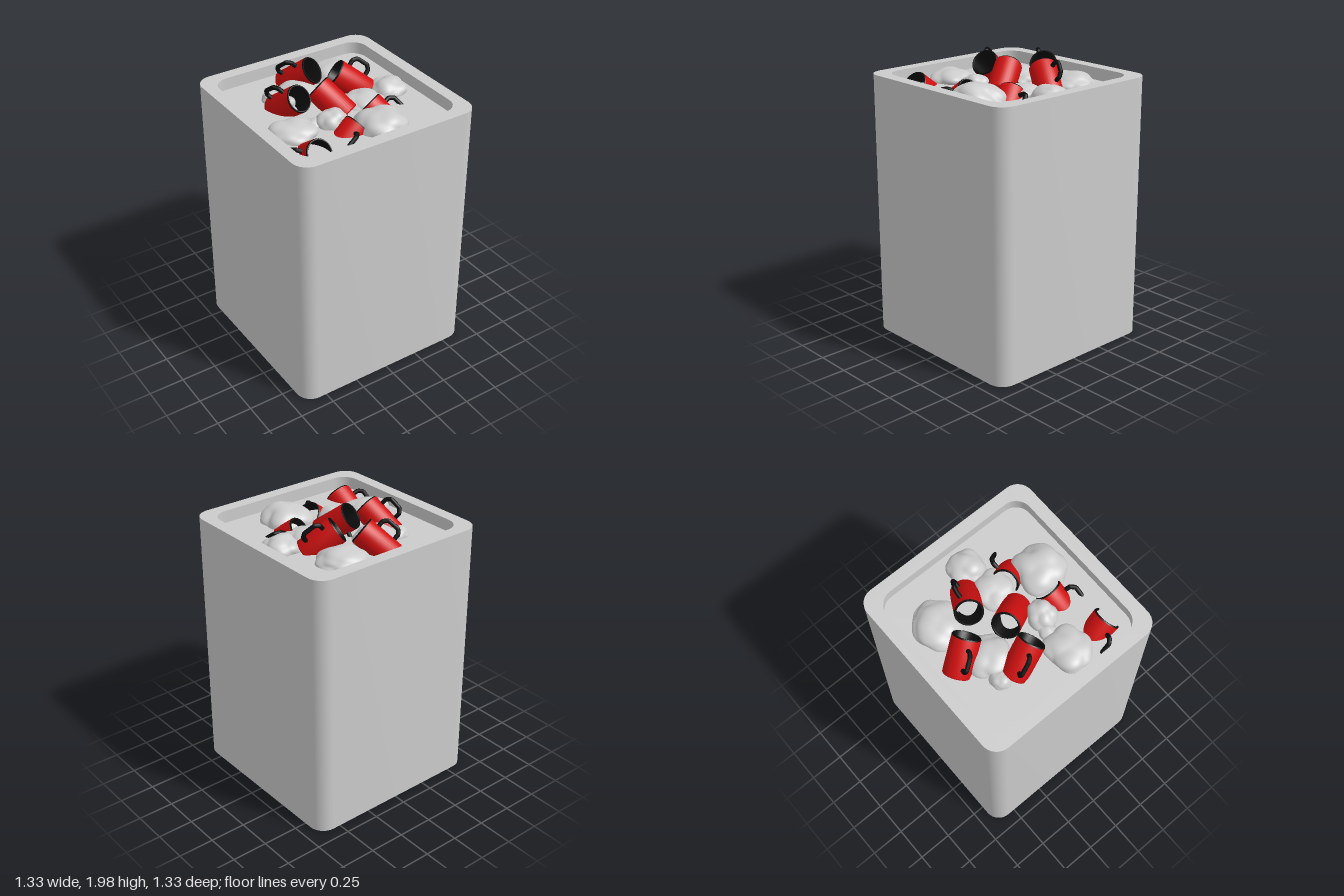
import * as THREE from 'three';
import { toCreasedNormals, mergeVertices } from 'three/addons/utils/BufferGeometryUtils.js';

const grey = new THREE.MeshStandardMaterial({ color: 0xcccccc });
const red = new THREE.MeshStandardMaterial({ color: 0xd01010 });
const black = new THREE.MeshStandardMaterial({ color: 0x0c0c0c });

const HEIGHT = 1.86, FLOOR = 1.775, RADIUS = 0.094, LENGTH = 0.265;

function mesh(name, geometry, material) {
  const m = new THREE.Mesh(geometry, material);
  m.name = name;
  return m;
}

function seeded(seed) {
  let s = seed * 7919 + 17;
  return () => (s = (s * 16807) % 2147483647) / 2147483647;
}

// Square outline with rounded corners, h = half side
function roundedSquare(h, r, Type = THREE.Shape) {
  const p = new Type();
  p.absarc(h - r, h - r, r, 0, Math.PI / 2);
  p.absarc(-h + r, h - r, r, Math.PI / 2, Math.PI);
  p.absarc(-h + r, -h + r, r, Math.PI, Math.PI * 1.5);
  p.absarc(h - r, -h + r, r, Math.PI * 1.5, Math.PI * 2);
  p.closePath();
  return p;
}

function makeBin() {
  const bin = new THREE.Group();
  bin.name = 'bin';
  // Walls with a square opening
  const outline = roundedSquare(0.667, 0.11);
  outline.holes.push(roundedSquare(0.58, 0.11, THREE.Path));
  const walls = new THREE.ExtrudeGeometry(outline, { depth: HEIGHT - 0.002, bevelEnabled: false, curveSegments: 4 });
  walls.rotateX(-Math.PI / 2).translate(0, 0.002, 0);
  bin.add(mesh('walls', toCreasedNormals(walls, Math.PI / 4), grey));
  // Closed underside
  const base = new THREE.ShapeGeometry(roundedSquare(0.667, 0.11), 4).rotateX(Math.PI / 2);
  bin.add(mesh('base', base, grey));
  // Surface the contents lie on
  const floor = new THREE.ShapeGeometry(roundedSquare(0.581, 0.11), 4).rotateX(-Math.PI / 2);
  floor.translate(0, FLOOR, 0);
  bin.add(mesh('floor', floor, grey));
  return bin;
}

const lathe = (pts) => toCreasedNormals(
  new THREE.LatheGeometry(pts.map(([x, y]) => new THREE.Vector2(x, y)), 32), Math.PI / 4);

// Mug along local y, centred, open at +y, handle towards +x
const half = LENGTH / 2, inner = RADIUS - 0.014;
const bodyGeometry = lathe([[0, -half], [RADIUS - 0.008, -half], [RADIUS, -half + 0.008], [RADIUS, half - 0.008]]);
const liningGeometry = lathe([[RADIUS, half - 0.008], [RADIUS - 0.004, half], [inner + 0.004, half],
  [inner, half - 0.006], [inner, -half + 0.015], [0, -half + 0.015]]);
const handlePath = new THREE.CurvePath();
const handlePoints = [[RADIUS - 0.008, -0.065], [0.13, -0.065], [0.157, -0.04], [0.157, 0.04], [0.13, 0.065], [RADIUS - 0.008, 0.065]]
  .map(([x, y]) => new THREE.Vector3(x, y, 0));
for (let i = 1; i < handlePoints.length; i++) {
  handlePath.add(new THREE.LineCurve3(handlePoints[i - 1], handlePoints[i]));
}
const handleGeometry = new THREE.TubeGeometry(handlePath, 40, 0.015, 10);

// Mug placed by the centre of its rim, the plan direction it opens to and its handle side
function makeMug([x, y, z], [dx, dz], handleSide, tilt = 0.63) {
  const mug = new THREE.Group();
  mug.name = 'mug';
  mug.add(mesh('mugBody', bodyGeometry, red));
  mug.add(mesh('mugLining', liningGeometry, black));
  mug.add(mesh('mugHandle', handleGeometry, black));
  const flat = new THREE.Vector2(dx, dz).normalize().multiplyScalar(Math.cos(tilt));
  const axis = new THREE.Vector3(flat.x, Math.sin(tilt), flat.y);
  const side = new THREE.Vector3(...handleSide);
  side.addScaledVector(axis, -side.dot(axis)).normalize();
  const third = new THREE.Vector3().crossVectors(side, axis);
  mug.quaternion.setFromRotationMatrix(new THREE.Matrix4().makeBasis(side, axis, third));
  mug.position.set(x, y, z).addScaledVector(axis, -half);
  return mug;
}

// Lumpy cloud: a sphere pushed out around scattered lobe directions
function makeLump([x, z, rx, rz, ry], seed) {
  const rand = seeded(seed + 1);
  const lobes = [];
  for (let i = 0; i < 26; i++) {
    const h = 1 - (2 * (i + 0.5)) / 26, a = i * 2.4 + rand() * 0.7, w = Math.sqrt(1 - h * h);
    lobes.push({ dir: new THREE.Vector3(w * Math.cos(a), h, w * Math.sin(a)), size: 0.85 + 0.2 * rand() });
  }
  let g = new THREE.IcosahedronGeometry(1, 14);
  g.deleteAttribute('normal');
  g.deleteAttribute('uv');
  g = mergeVertices(g);
  const pos = g.attributes.position, v = new THREE.Vector3();
  for (let i = 0; i < pos.count; i++) {
    v.fromBufferAttribute(pos, i).normalize();
    let sum = 0;
    for (const l of lobes) sum += Math.exp(14 * (l.size * (1 - 1.3 * (1 - v.dot(l.dir)))));
    v.multiplyScalar(Math.log(sum) / 14);
    pos.setXYZ(i, v.x * rx, v.y * ry, v.z * rz);
  }
  g.computeVertexNormals();
  const lump = mesh('foamLump', g, grey);
  lump.position.set(x, FLOOR, z);
  return lump;
}

export function createModel() {
  const model = new THREE.Group();
  model.name = 'binOfMugs';
  model.add(makeBin());

  // Mugs: rim centre, opening direction, handle side
  const mugs = [
    [[0.03, 1.9, -0.3], [0.52, 0.85], [-0.35, 0.9, 0.2]],
    [[-0.25, 1.9, -0.015], [0.28, 0.96], [-0.38, 0.9, 0.1]],
    [[-0.075, 1.9, -0.08], [-0.5, -0.86], [0.3, -0.9, -0.15]],
    [[0.135, 1.9, -0.195], [-0.87, -0.5], [0.18, 0.9, -0.28]],
    [[-0.41, 1.795, 0.47], [0.08, 1], [-0.8, 0.6, 0]],
    [[0.185, 1.795, 0.13], [-0.48, -0.88], [0.7, 0.6, -0.38]],
    [[-0.02, 1.79, 0.31], [1, -0.1], [0, 0.6, 0.8]],
  ];
  mugs.forEach((m) => model.add(makeMug(...m)));

  // Foam lumps: x, z, half width, half depth, height
  const lumps = [
    [0.245, -0.37, 0.19, 0.165, 0.09],
    [-0.13, -0.25, 0.165, 0.165, 0.09],
    [-0.29, -0.3, 0.08, 0.075, 0.06],
    [0.425, 0.015, 0.13, 0.13, 0.09],
    [0.2, 0.05, 0.15, 0.14, 0.07],
    [-0.41, 0.15, 0.17, 0.16, 0.09],
    [-0.24, 0.13, 0.08, 0.06, 0.04],
    [-0.13, 0.17, 0.11, 0.1, 0.1],
    [0.12, 0.36, 0.19, 0.18, 0.12],
  ];
  lumps.forEach((l, i) => model.add(makeLump(l, i)));
  return model;
}
